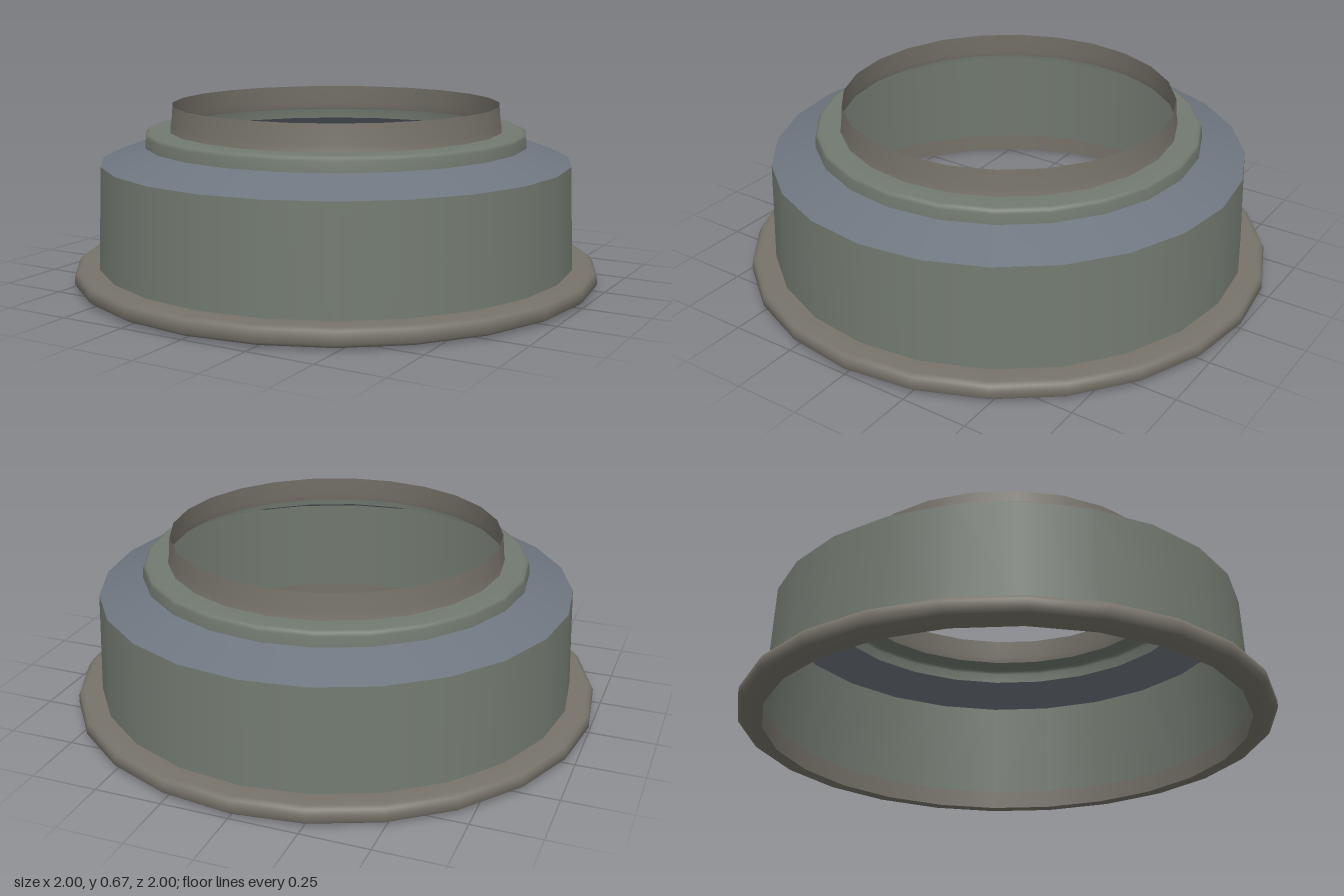
import * as THREE from 'three';

const SIDES = 24;

// Revolve a [radius, height] profile into a thin, smooth ring
function ring(name, color, profile) {
  const points = profile.map(([r, y]) => new THREE.Vector2(r, y));
  const material = new THREE.MeshStandardMaterial({ color, side: THREE.DoubleSide });
  const mesh = new THREE.Mesh(new THREE.LatheGeometry(points, SIDES), material);
  mesh.name = name;
  return mesh;
}

export function createModel() {
  const model = new THREE.Group();
  model.name = 'steppedCollar';
  const brown = 0x77736a, green = 0x727a70, blue = 0x6e7680;

  model.add(
    // Rounded base flange: underside, outer edge and top
    ring('flangeUnderside', brown, [[0.91, 0], [0.955, 0]]),
    ring('flangeRim', brown, [
      [0.955, 0], [0.985, 0.01], [1, 0.022], [1, 0.05], [0.992, 0.066], [0.975, 0.074], [0.908, 0.074],
    ]),
    ring('flangeInnerLip', brown, [[0.908, 0.074], [0.91, 0]]),
    // Slightly tapered main wall
    ring('wall', green, [[0.908, 0.074], [0.893, 0.46]]),
    // Sloping shoulder
    ring('shoulder', blue, [[0.893, 0.46], [0.728, 0.522]]),
    // Raised step with a softened edge
    ring('step', green, [
      [0.728, 0.522], [0.725, 0.56], [0.72, 0.571], [0.708, 0.576], [0.634, 0.576],
    ]),
    // Open neck at the top
    ring('neck', brown, [[0.634, 0.576], [0.629, 0.6], [0.623, 0.672]]),
  );
  return model;
}
